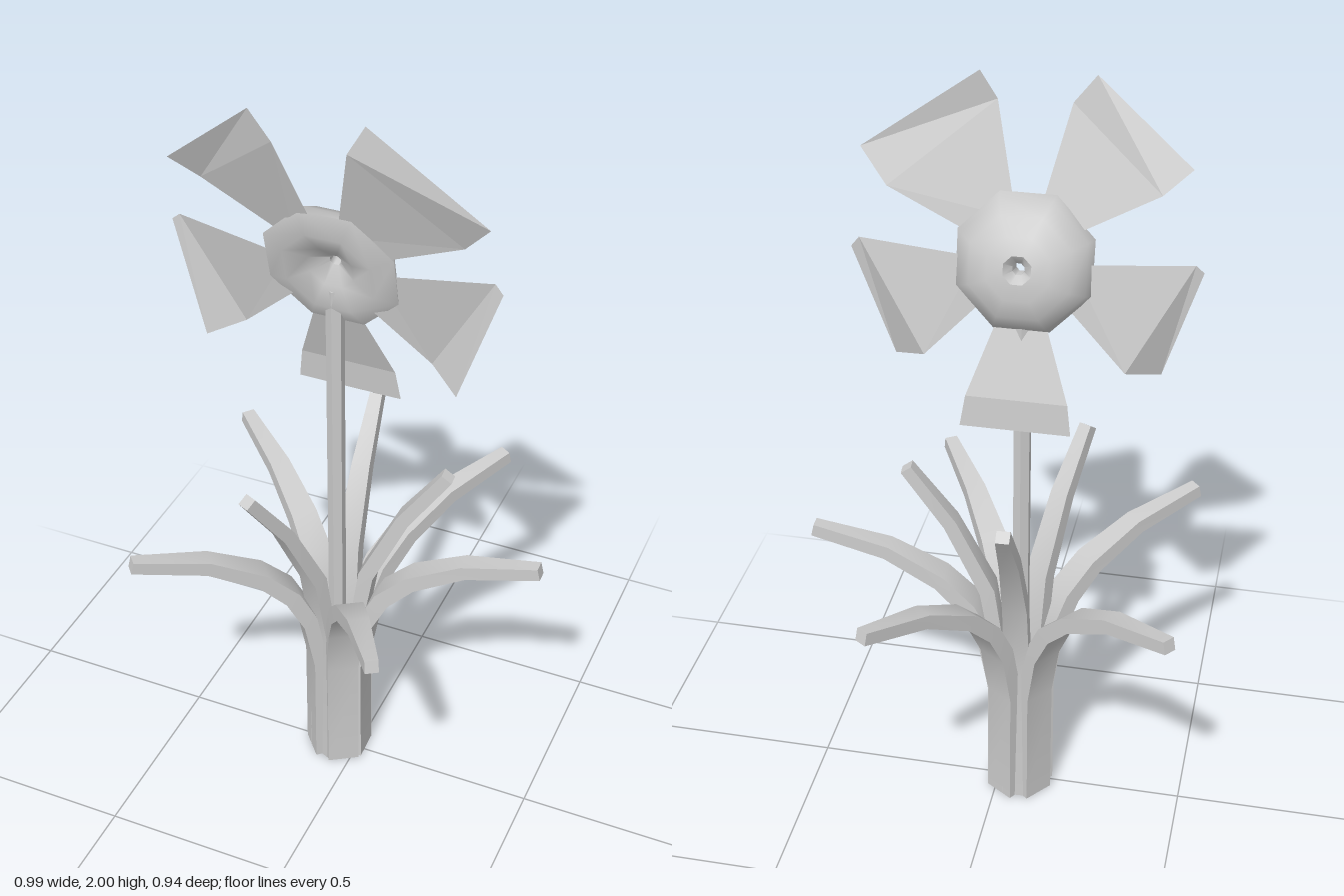
import * as THREE from 'three';
import { toCreasedNormals } from 'three/addons/utils/BufferGeometryUtils.js';

const material = new THREE.MeshStandardMaterial({ color: 0xcccccc });
const sheetMaterial = new THREE.MeshStandardMaterial({ color: 0xcccccc, side: THREE.DoubleSide, flatShading: true });
const CENTER = [-0.058, -0.01];

function buildGeometry(positions, index) {
  const geo = new THREE.BufferGeometry();
  geo.setAttribute('position', new THREE.Float32BufferAttribute(positions, 3));
  geo.setIndex(index);
  return toCreasedNormals(geo, 0.6);
}

// Rectangular section swept along rows of [radius, height, width, thickness]
function leafGeometry(rows) {
  const pos = [], idx = [];
  rows.forEach(([r, y, w, t], i) => {
    const a = rows[Math.max(i - 1, 0)], b = rows[Math.min(i + 1, rows.length - 1)];
    const len = Math.hypot(b[0] - a[0], b[1] - a[1]);
    const nx = (b[1] - a[1]) / len * t / 2, ny = -(b[0] - a[0]) / len * t / 2;
    for (const [s, k] of [[1, 1], [1, -1], [-1, -1], [-1, 1]]) pos.push(r + s * nx, y + s * ny, k * w / 2);
    if (i === 0) return;
    for (let j = 0; j < 4; j++) {
      const p = (i - 1) * 4 + j, q = (i - 1) * 4 + (j + 1) % 4;
      idx.push(p, q, q + 4, p, q + 4, p + 4);
    }
  });
  const e = (rows.length - 1) * 4;
  idx.push(0, 2, 1, 0, 3, 2, e, e + 1, e + 2, e, e + 2, e + 3);
  return buildGeometry(pos, idx);
}

export function createModel() {
  const model = new THREE.Group();
  const add = (name, geo, mat = material) => {
    const mesh = new THREE.Mesh(geo, mat);
    mesh.name = name;
    model.add(mesh);
    return mesh;
  };

  // Stem
  add('stem', toCreasedNormals(new THREE.CylinderGeometry(0.023, 0.023, 1.5, 6), 0.6))
    .position.set(CENTER[0], 0.75, -0.005);

  // Leaves: five long arching ones and three tall ones, aimed at their tips
  const longLeaf = leafGeometry([
    [0.064, 0, 0.085, 0.034], [0.06, 0.34, 0.085, 0.04], [0.085, 0.49, 0.085, 0.045],
    [0.135, 0.59, 0.08, 0.045], [0.21, 0.665, 0.072, 0.042], [0.35, 0.74, 0.055, 0.038], [0.545, 0.785, 0.034, 0.034],
  ]);
  const tallLeaf = leafGeometry([
    [0.06, 0, 0.07, 0.03], [0.05, 0.42, 0.07, 0.035], [0.085, 0.65, 0.064, 0.04],
    [0.18, 0.85, 0.05, 0.036], [0.29, 1.005, 0.034, 0.032],
  ]);
  const place = (name, geo, tips) => tips.forEach(([x, z]) => {
    const leaf = add(name, geo);
    leaf.position.set(CENTER[0], 0, CENTER[1]);
    leaf.rotation.y = -Math.atan2(z - CENTER[1], x - CENTER[0]);
  });
  place('longLeaf', longLeaf, [[0.49, -0.035], [0.24, -0.46], [0.235, 0.455], [-0.475, -0.345], [-0.47, 0.35]]);
  place('tallLeaf', tallLeaf, [[-0.07, -0.33], [0.235, -0.04], [-0.175, 0.235]]);

  // Flower hub: eight-sided dome with a narrow hole through it
  const profile = [
    [0.015, 0.03], [0.06, 0], [0.12, -0.02], [0.178, 0], [0.165, 0.03], [0.13, 0.07],
    [0.08, 0.093], [0.036, 0.1], [0.015, 0.08], [0.015, 0.03],
  ].map(([r, y]) => new THREE.Vector2(r, y));
  const hub = add('flowerHub', toCreasedNormals(new THREE.LatheGeometry(profile, 8, Math.PI / 8), 0.8));
  hub.position.set(-0.055, 1.57, 0.025);
  hub.rotation.x = -1.33;

  // Petals: blade from the hub to a crease, then a bent tip
  // (pairs of corners: root, crease, outer edge)
  const petals = [
    [[-0.03, 1.67, 0.045], [0.06, 1.62, 0.035], [0.03, 1.93, 0.125], [0.285, 1.72, 0.06], [0.07, 2.0, 0.115], [0.355, 1.8, 0.095]],
    [[-0.14, 1.63, 0.035], [-0.08, 1.67, 0.045], [-0.37, 1.755, 0.05], [-0.145, 1.93, 0.135], [-0.435, 1.81, 0.085], [-0.2, 2.0, 0.135]],
    [[0.06, 1.575, 0.02], [0.03, 1.48, 0.01], [0.34, 1.61, 0.0], [0.18, 1.33, -0.035], [0.36, 1.585, 0.0], [0.265, 1.295, 0.025]],
    [[-0.17, 1.575, 0.02], [-0.15, 1.48, 0.01], [-0.46, 1.612, 0.0], [-0.31, 1.33, -0.035], [-0.48, 1.595, 0.0], [-0.39, 1.305, 0.025]],
    [[-0.1, 1.47, 0], [-0.01, 1.47, 0], [-0.18, 1.25, -0.075], [0.07, 1.25, -0.075], [-0.19, 1.17, -0.082], [0.083, 1.17, -0.082]],
  ];
  for (const corners of petals) {
    add('petal', buildGeometry(corners.flat(), [0, 2, 3, 0, 3, 1, 2, 4, 5, 2, 5, 3]), sheetMaterial);
  }
  return model;
}
